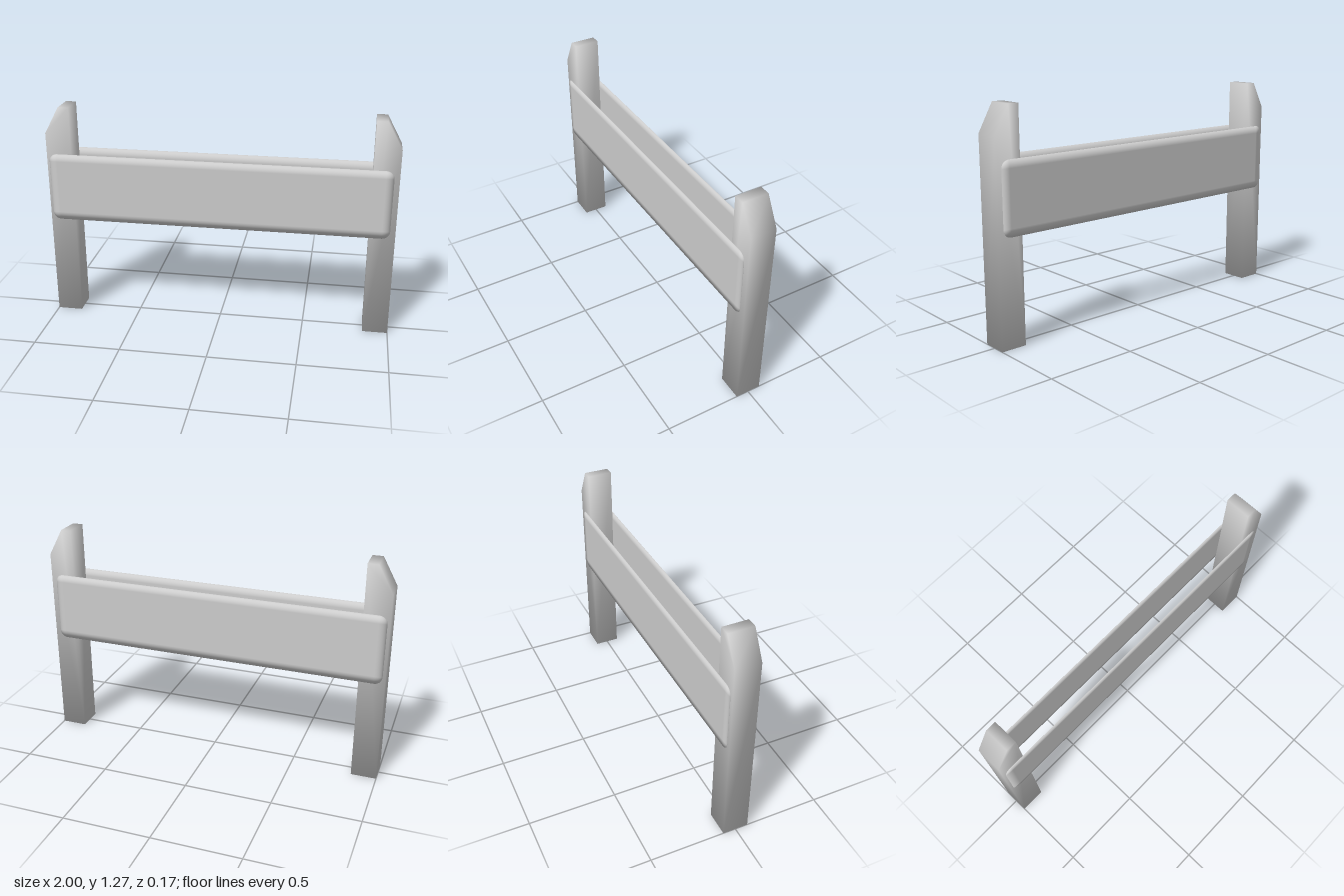
import * as THREE from 'three';
import { RoundedBoxGeometry } from 'three/addons/geometries/RoundedBoxGeometry.js';

const HALF_DEPTH = 0.073;

// Square post with a slanted outer top corner, smooth normals over all edges.
// Outline runs counter-clockwise seen from +z.
function postGeometry(outline) {
  const n = outline.length;
  const edgeNormal = (i) => {
    const a = outline[i], b = outline[(i + 1) % n];
    return new THREE.Vector2(b.y - a.y, a.x - b.x).normalize();
  };
  const positions = [], normals = [], index = [];
  for (const side of [1, -1]) {
    outline.forEach((p, i) => {
      const before = edgeNormal((i + n - 1) % n), after = edgeNormal(i);
      // Corner normals are weighted by the angle of each face
      const angle = Math.PI - Math.acos(THREE.MathUtils.clamp(before.dot(after), -1, 1));
      const sum = before.add(after).multiplyScalar(Math.PI / 2);
      const normal = new THREE.Vector3(sum.x, sum.y, side * angle).normalize();
      positions.push(p.x, p.y, side * HALF_DEPTH);
      normals.push(normal.x, normal.y, normal.z);
    });
  }
  for (let i = 0; i < n; i++) {
    const j = (i + 1) % n;
    index.push(i, i + n, j + n, i, j + n, j);
  }
  for (let i = 1; i < n - 1; i++) {
    index.push(0, i, i + 1, n, n + i + 1, n + i);
  }
  const geometry = new THREE.BufferGeometry();
  geometry.setAttribute('position', new THREE.Float32BufferAttribute(positions, 3));
  geometry.setAttribute('normal', new THREE.Float32BufferAttribute(normals, 3));
  geometry.setIndex(index);
  return geometry;
}

// Rounded plank squashed in depth; its soft normals are kept for a cushioned edge.
function boardGeometry(width, height, thickness, radius) {
  const depth = radius * 2;
  const geometry = new RoundedBoxGeometry(width, height, depth, 4, radius);
  const position = geometry.attributes.position;
  for (let i = 0; i < position.count; i++) {
    position.setZ(i, position.getZ(i) * thickness / depth);
  }
  return geometry;
}

export function createModel() {
  const model = new THREE.Group();
  model.name = 'signFrame';
  const grey = new THREE.MeshStandardMaterial({ color: 0xcccccc });
  grey.name = 'lightGrey';

  const add = (name, geometry) => {
    const mesh = new THREE.Mesh(geometry, grey);
    mesh.name = name;
    model.add(mesh);
    return mesh;
  };

  // Posts, mirrored left and right
  const outline = [[0.855, 0], [1, 0], [1, 1.12], [0.915, 1.275], [0.855, 1.275]]
    .map(([x, y]) => new THREE.Vector2(x, y));
  const mirrored = outline.map((p) => new THREE.Vector2(-p.x, p.y)).reverse();
  add('leftPost', postGeometry(outline));
  add('rightPost', postGeometry(mirrored));

  // Boards on the front and back of the posts
  for (const [name, side] of [['frontBoard', 1], ['backBoard', -1]]) {
    const board = add(name, boardGeometry(1.955, 0.4, 0.011, 0.045));
    board.position.set(-0.0075, 0.8, side * 0.0775);
  }
  return model;
}
